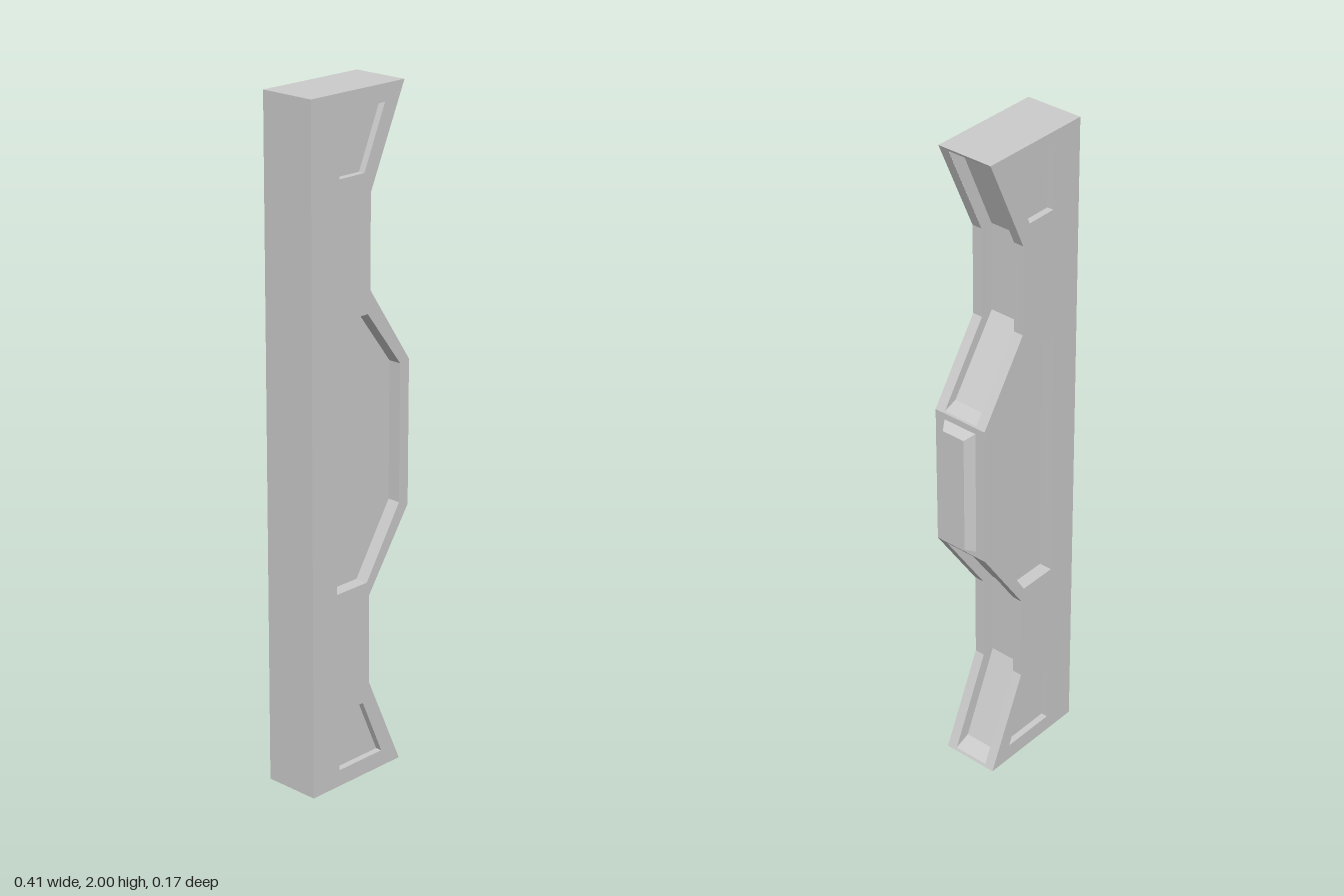
import * as THREE from 'three';

const HALF = 0.087;   // half thickness of the slab
const GROOVE = 0.056; // half width of the edge groove

const mat = new THREE.MeshStandardMaterial({ color: 0xcccccc, flatShading: true });
const toVec = pts => pts.map(([x, y]) => new THREE.Vector2(x, y));
const mirrorY = pts => pts.map(([x, y]) => [x, 2 - y]).reverse();

// Flat sheet at depth z, facing +z (dir 1) or -z (dir -1)
function sheet(pts, z, dir, holes = []) {
  const shape = new THREE.Shape(toVec(pts));
  holes.forEach(h => shape.holes.push(new THREE.Path(toVec(h))));
  const g = new THREE.ShapeGeometry(shape);
  g.translate(0, 0, z);
  if (dir < 0) {
    g.setIndex(Array.from(g.index.array).reverse());
    g.computeVertexNormals();
  }
  return new THREE.Mesh(g, mat);
}

// Strip of quads along a path from z0 to z1, facing the right-hand side of the path
function strip(pts, z0, z1) {
  const pos = [];
  for (let i = 0; i < pts.length - 1; i++) {
    const [ax, ay] = pts[i], [bx, by] = pts[i + 1];
    pos.push(ax, ay, z1, ax, ay, z0, bx, by, z0);
    pos.push(ax, ay, z1, bx, by, z0, bx, by, z1);
  }
  const g = new THREE.BufferGeometry();
  g.setAttribute('position', new THREE.Float32BufferAttribute(pos, 3));
  g.computeVertexNormals();
  return new THREE.Mesh(g, mat);
}

// Raised pad with sloping sides, built as a four-sided frustum pointing along +x
function padGeometry(x0, x1, base, top) {
  const g = new THREE.BoxGeometry(x1 - x0, 1, 1).toNonIndexed();
  const p = g.attributes.position;
  for (let i = 0; i < p.count; i++) {
    const [h, w] = p.getX(i) > 0 ? top : base;
    p.setXYZ(i, p.getX(i) + (x0 + x1) / 2, 1 + Math.sign(p.getY(i)) * h, Math.sign(p.getZ(i)) * w);
  }
  g.computeVertexNormals();
  return g;
}

export function createModel() {
  const model = new THREE.Group();
  const add = (name, ...meshes) => {
    const group = new THREE.Group();
    group.name = name;
    group.add(...meshes);
    model.add(group);
  };

  // Shaped edge, lower half, running upwards
  const edge = [[0.148, 0], [0.02, 0.285], [0.02, 0.555], [0.176, 0.785]];
  const rim = [[0.144, 0.008], edge[1], edge[2], [0.173, 0.78]];
  const floor = [[0.094, 0.027], [-0.02, 0.285], [-0.02, 0.55], [0.13, 0.765]];
  const grooved = [edge[0], rim[0], ...floor, rim[3], edge[3]];
  const fullEdge = [...edge, ...mirrorY(edge)];
  const outline = [[-0.205, 0], ...fullEdge, [-0.205, 2]];

  // Sunken panels: small ones at the ends, a large one in the middle
  const endPanel = [[-0.1, 0.05], [0.073, 0.05], [-0.005, 0.228], [-0.1, 0.228]];
  const panels = [
    { name: 'lowerPanel', pts: endPanel, depth: 0.02 },
    { name: 'upperPanel', pts: mirrorY(endPanel), depth: 0.02 },
    {
      name: 'middlePanel', depth: 0.04,
      pts: [[-0.11, 0.595], [0.01, 0.595], [0.14, 0.8], [0.14, 1.21], [0.01, 1.38], [-0.11, 1.38]],
    },
  ];
  const holes = panels.map(p => p.pts);

  // Broad faces
  add('frontFace', sheet(outline, HALF, 1, holes));
  add('backFace', sheet(outline, -HALF, -1, holes));
  for (const { name, pts, depth } of panels) {
    const loop = [...pts, pts[0]].reverse();
    const z = HALF - depth;
    add(name, sheet(pts, z, 1), strip(loop, z, HALF), sheet(pts, -z, -1), strip(loop, -HALF, -z));
  }

  // Straight side and ends
  add('straightSideAndEnds', strip([fullEdge[7], outline[9], outline[0], edge[0]], -HALF, HALF));

  // Lips on both sides of the groove, and the grooved centre strip
  add('edgeLips', strip(fullEdge, GROOVE, HALF), strip(fullEdge, -HALF, -GROOVE));
  add('edgeGroove', strip([...grooved, ...mirrorY(grooved)], -GROOVE, GROOVE));

  // Groove side walls
  const wall = [...rim, ...[...floor].reverse()];
  for (const pts of [wall, mirrorY(wall)]) {
    add('grooveWalls', sheet(pts, -GROOVE, 1), sheet(pts, GROOVE, -1));
  }

  // Raised pad on the middle of the shaped edge
  add('pad', new THREE.Mesh(padGeometry(0.174, 0.204, [0.197, 0.056], [0.18, 0.037]), mat));

  return model;
}
